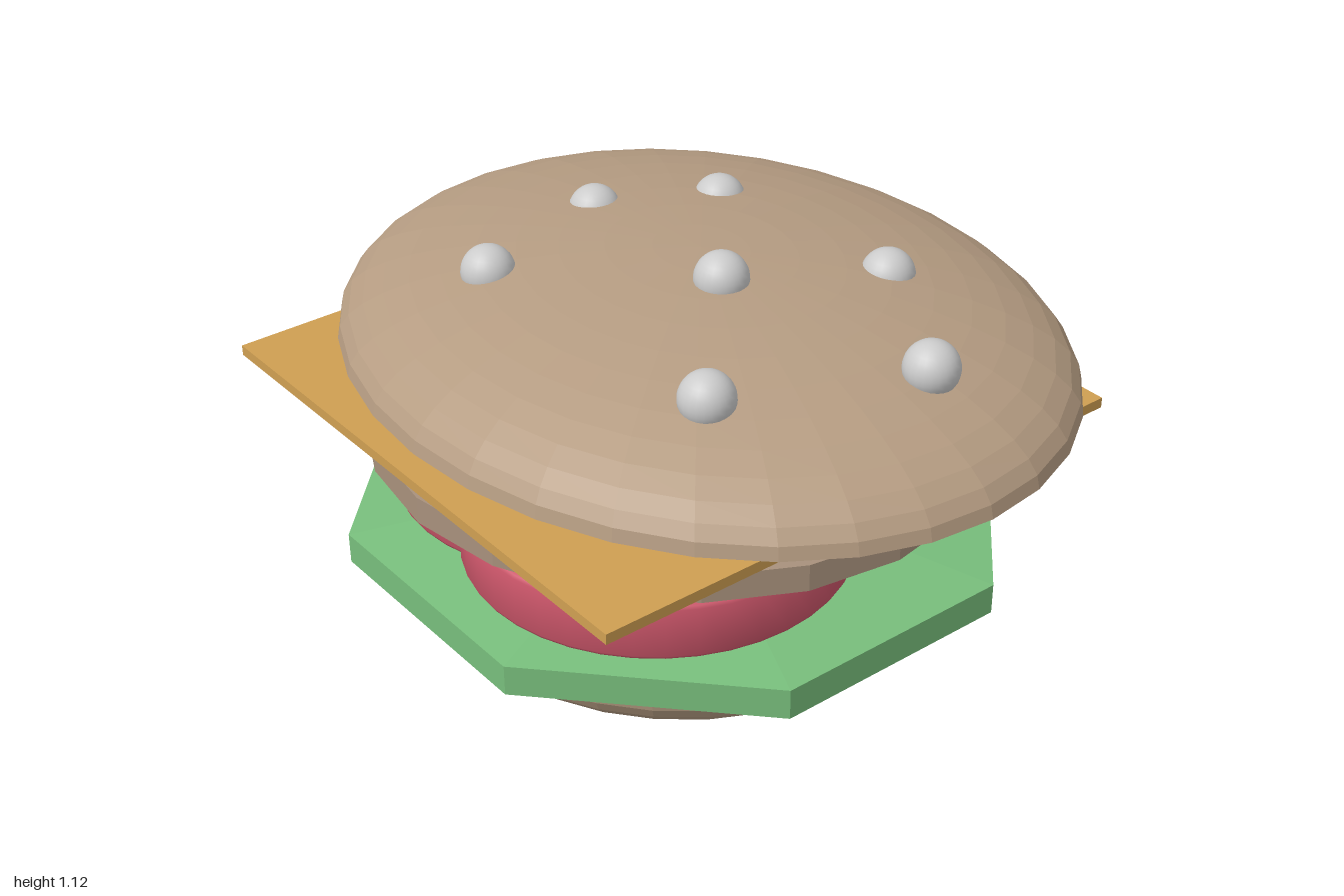
import * as THREE from 'three';
import { toCreasedNormals } from 'three/addons/utils/BufferGeometryUtils.js';

const paint = (color, flatShading = false) => new THREE.MeshStandardMaterial({ color, flatShading });
const bread = paint(0xb59c82, true);
const meat = paint(0xa8917c, true);
const leaf = paint(0x78be7c, true);
const tomato = paint(0xcc566a);
const pickle = paint(0x6aae74);
const cheese = paint(0xcf9f52);
const seed = paint(0xcccccc);

// Solid of revolution from [radius, height] pairs, listed bottom to top
function turned(points, sides) {
  return new THREE.LatheGeometry(points.map(([r, y]) => new THREE.Vector2(r, y)), sides);
}

// Closed unit dome, rim at y = 0 and crown at y = 1
function domeGeometry(sides, steps) {
  const points = [[0, 0]];
  for (let i = 0; i <= steps; i++) {
    const a = (i / steps) * Math.PI / 2;
    points.push([i === steps ? 0 : Math.cos(a), Math.sin(a)]);
  }
  return turned(points, sides);
}

export function createModel() {
  const group = new THREE.Group();
  const add = (name, geometry, material, x, y, z) => {
    const mesh = new THREE.Mesh(geometry, material);
    mesh.name = name;
    mesh.position.set(x, y, z);
    group.add(mesh);
    return mesh;
  };

  // Buns: a wide oval crown and a round inverted heel
  const dome = domeGeometry(32, 12);
  add('topBun', dome, bread, 0, 0.8, 0).scale.set(0.83, 0.25, 1);
  const heel = add('bottomBun', dome, bread, -0.05, 0.25, 0);
  heel.scale.set(0.69, 0.25, 0.69);
  heel.rotation.x = Math.PI;

  // Seeds half sunk in the crown
  const seedGeometry = new THREE.SphereGeometry(0.067, 24, 16);
  const seeds = [
    [-0.41, -0.3], [-0.02, -0.4], [0.26, -0.25], [0.32, 0.31], [-0.37, 0.48], [0.1, 0.69],
  ];
  seeds.forEach(([x, z]) => add('seed', seedGeometry, seed, x, 0.998, z));
  add('seed', seedGeometry, seed, -0.06, 1.05, 0.15);

  // Lettuce: eight-sided leaf with shallow pointed faces
  const leafGeometry = turned([[0, -0.125], [1, -0.04], [1, 0.04], [0, 0.115]], 8);
  leafGeometry.rotateY(Math.PI / 8);
  add('lettuce', leafGeometry, leaf, -0.055, 0.34, -0.025).scale.set(0.828, 1, 0.871);

  // Three overlapping tomato slices with softened rims
  const sliceGeometry = toCreasedNormals(turned([
    [0, -0.075], [0.468, -0.075], [0.476, -0.071], [0.48, -0.063],
    [0.48, 0.063], [0.476, 0.071], [0.468, 0.075], [0, 0.075],
  ], 40), 0.7);
  [[0.26, 0.1], [-0.26, 0.16], [-0.21, -0.21]].forEach(([x, z], i) =>
    add('tomatoSlice', sliceGeometry, tomato, x, 0.48 + i * 0.0005, z));

  // Pickle slices
  const pickleGeometry = new THREE.CylinderGeometry(0.245, 0.245, 0.035, 32);
  [[-0.455, 0.19], [0.09, 0.275], [0.425, 0], [-0.36, -0.435]].forEach(([x, z], i) =>
    add('pickleSlice', pickleGeometry, pickle, x, 0.569 + i * 0.0005, z));

  // Patty and cheese
  add('patty', new THREE.CylinderGeometry(1, 1, 0.07, 20), meat, -0.045, 0.62, -0.035)
    .scale.set(0.765, 1, 0.805);
  add('cheese', new THREE.BoxGeometry(1.5, 0.027, 1.53), cheese, -0.06, 0.681, -0.073);

  return group;
}
